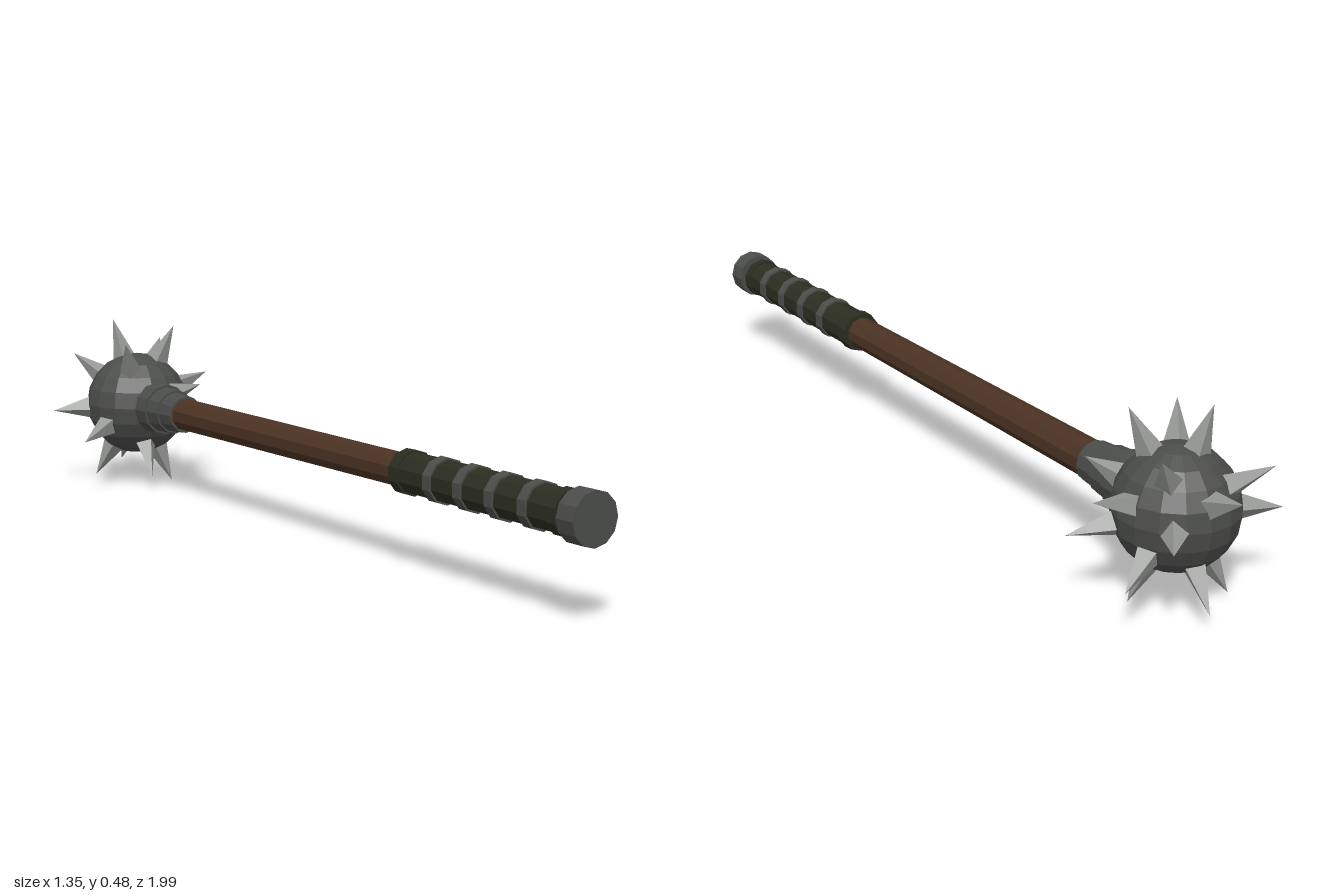
import * as THREE from 'three';

const mat = (name, color) => {
  const m = new THREE.MeshStandardMaterial({ color, flatShading: true });
  m.name = name;
  return m;
};

export function createModel() {
  const iron = mat('dark iron', 0x4b4d4a);
  const steel = mat('pale steel', 0x959895);
  const wood = mat('brown wood', 0x4b3324);
  const leather = mat('dark leather', 0x2b2d20);

  const model = new THREE.Group();
  model.name = 'spikedMace';
  const centre = new THREE.Vector3(-0.43, 0.237, -0.757);

  // Handle group: local +y runs from the head centre to the pommel
  const handle = new THREE.Group();
  handle.name = 'handle';
  handle.position.copy(centre);
  handle.rotation.set(Math.PI / 2, 0.55, 0, 'YXZ');
  model.add(handle);

  // Section from distance a to b along the handle, with radii at both ends
  const section = (name, a, b, ra, rb, material, sides = 10) => {
    const mesh = new THREE.Mesh(new THREE.CylinderGeometry(rb, ra, b - a, sides), material);
    mesh.name = name;
    mesh.position.y = (a + b) / 2;
    handle.add(mesh);
    return mesh;
  };

  section('shaft', 0.1, 1.96, 0.047, 0.04, wood);

  // Stepped collar under the head
  section('collarUpper', 0.11, 0.18, 0.075, 0.072, iron, 12);
  section('collarMiddle', 0.18, 0.235, 0.066, 0.062, iron, 12);
  section('collarLower', 0.235, 0.295, 0.057, 0.052, iron, 12);

  // Leather grip: five wraps separated by metal rings
  const start = 1.385, step = 0.112;
  section('gripCuff', 1.35, start, 0.055, 0.056, leather);
  for (let i = 0; i < 5; i++) {
    const a = start + i * step;
    section('gripWrap', a, Math.min(a + step, 1.935), 0.051, 0.051, leather);
    if (i > 0) section('gripRing', a - 0.014, a + 0.014, 0.056, 0.056, iron);
  }
  section('gripEndRing', 1.915, 1.94, 0.055, 0.055, leather);

  // Pommel
  section('pommel', 1.955, 2.008, 0.062, 0.062, iron, 12);

  // Head ball
  const ball = new THREE.Mesh(new THREE.SphereGeometry(0.148, 16, 10), iron);
  ball.name = 'headBall';
  ball.position.copy(centre);
  model.add(ball);

  // Spike tips relative to the head centre
  const tips = [
    [-0.07, 0.246, -0.016], [0.11, 0.23, 0.016], [-0.195, 0.136, -0.095],
    [-0.245, -0.02, 0.03], [-0.125, -0.215, 0], [0.1, -0.234, 0],
    [0.2, 0.075, -0.137], [0.19, 0.07, 0.12], [0.245, -0.058, -0.02],
    [-0.02, 0.19, 0.17], [0.05, -0.196, 0.15], [0.04, 0, -0.243],
    [-0.106, 0.097, -0.206], [-0.14, -0.09, 0.185], [0.06, 0.177, -0.166],
    [-0.06, -0.193, -0.15], [0.13, -0.12, -0.18],
  ];
  const spikes = new THREE.Group();
  spikes.name = 'spikes';
  spikes.position.copy(centre);
  const up = new THREE.Vector3(0, 1, 0);
  for (const t of tips) {
    const tip = new THREE.Vector3(...t);
    const length = tip.length() - 0.12;
    const spike = new THREE.Mesh(new THREE.ConeGeometry(0.038, length, 4), steel);
    spike.name = 'spike';
    const dir = tip.normalize();
    spike.quaternion.setFromUnitVectors(up, dir);
    spike.position.copy(dir).multiplyScalar(0.12 + length / 2);
    spikes.add(spike);
  }
  model.add(spikes);
  return model;
}
